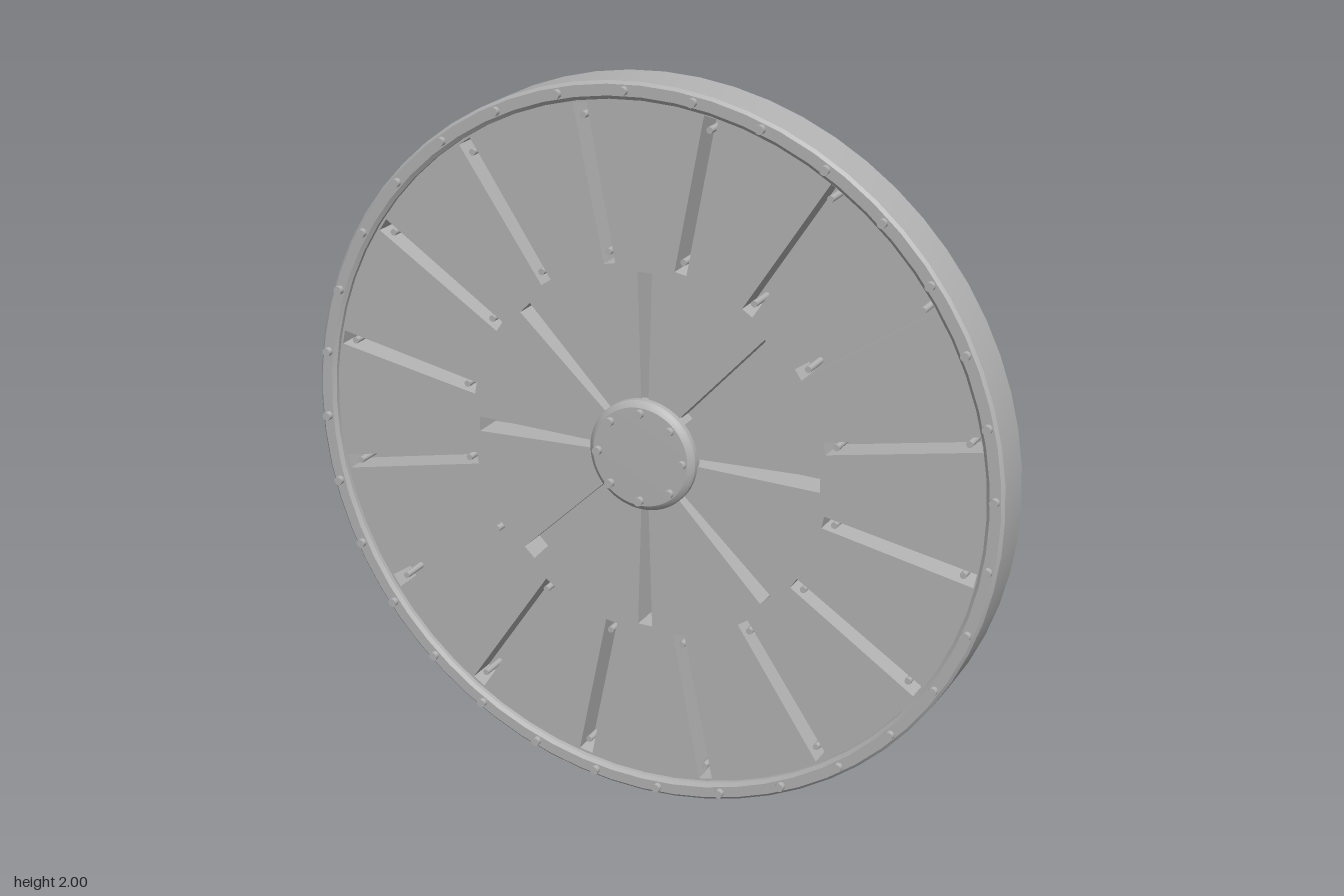
import * as THREE from 'three';
import { toCreasedNormals } from 'three/addons/utils/BufferGeometryUtils.js';

const SEGMENTS = 64;
const FLOOR = -0.045; // bottom of the slots
const FACE = 0.04;    // front of the slotted panel
const RIM = 0.06;     // front of the rim

export function createModel() {
  const model = new THREE.Group();
  const metal = new THREE.MeshStandardMaterial({ color: 0xb3b3b3 });
  metal.name = 'grey metal';

  const add = (name, geometry, parent = model) => {
    const mesh = new THREE.Mesh(geometry, metal);
    mesh.name = name;
    parent.add(mesh);
    return mesh;
  };

  // Solid of revolution about z, from [radius, z] pairs
  const turned = (points) => {
    const profile = points.map(([r, z]) => new THREE.Vector2(r, z));
    const geometry = new THREE.LatheGeometry(profile, SEGMENTS).rotateX(Math.PI / 2);
    return toCreasedNormals(geometry, 0.5);
  };

  // Closed back with a raised, bevelled rim
  add('rimAndBack', turned([
    [0, -0.085], [0.988, -0.085], [1, -0.075], [1, 0.052], [0.992, RIM],
    [0.962, RIM], [0.952, 0.052], [0.952, FLOOR], [0, FLOOR],
  ]));

  // Radial slot outline that widens outwards
  const slot = (angle, r0, r1, w0, w1) => {
    const path = new THREE.Path();
    const corners = [[r0, -w0], [r0, w0], [r1, w1], [r1, -w1]].map(([r, w]) =>
      new THREE.Vector2(r, w / 2).rotateAround(new THREE.Vector2(), angle));
    return path.setFromPoints(corners);
  };

  // Face panel pierced by eight inner and sixteen outer slots
  const outline = new THREE.Shape();
  outline.absarc(0, 0, 0.953, 0, Math.PI * 2);
  for (let i = 0; i < 8; i++) {
    outline.holes.push(slot(i * Math.PI / 4, 0.13, 0.5, 0.02, 0.042));
  }
  for (let i = 0; i < 16; i++) {
    outline.holes.push(slot((i + 0.5) * Math.PI / 8, 0.52, 0.945, 0.034, 0.04));
  }
  const panel = new THREE.ExtrudeGeometry(outline, {
    depth: FACE - FLOOR, bevelEnabled: false, curveSegments: SEGMENTS,
  });
  add('slottedPanel', panel.translate(0, 0, FLOOR));

  // Ring of bolts between two depths
  const boltRing = (name, count, ringRadius, offset, radius, z0, z1) => {
    const ring = new THREE.Group();
    ring.name = name;
    const geometry = new THREE.CylinderGeometry(radius, radius, z1 - z0, 12).rotateX(Math.PI / 2);
    for (let i = 0; i < count; i++) {
      const angle = offset + i * Math.PI * 2 / count;
      const bolt = add('bolt', geometry, ring);
      bolt.position.set(Math.cos(angle) * ringRadius, Math.sin(angle) * ringRadius, (z0 + z1) / 2);
    }
    model.add(ring);
  };
  boltRing('rimBolts', 32, 0.976, Math.PI / 64, 0.012, RIM - 0.01, 0.075);
  boltRing('outerSlotBolts', 16, 0.91, Math.PI / 16, 0.009, FLOOR, 0.035);
  boltRing('innerSlotBolts', 16, 0.55, Math.PI / 16, 0.009, FLOOR, 0.035);

  // Central boss with its bolts
  add('boss', turned([
    [0.154, FACE - 0.01], [0.154, 0.055], [0.149, 0.063], [0.138, 0.07], [0, 0.072],
  ]));
  boltRing('bossBolts', 8, 0.123, 0, 0.012, 0.06, 0.085);

  // Stand the disc on the ground
  model.children.forEach((part) => { part.position.y = 1; });
  return model;
}
